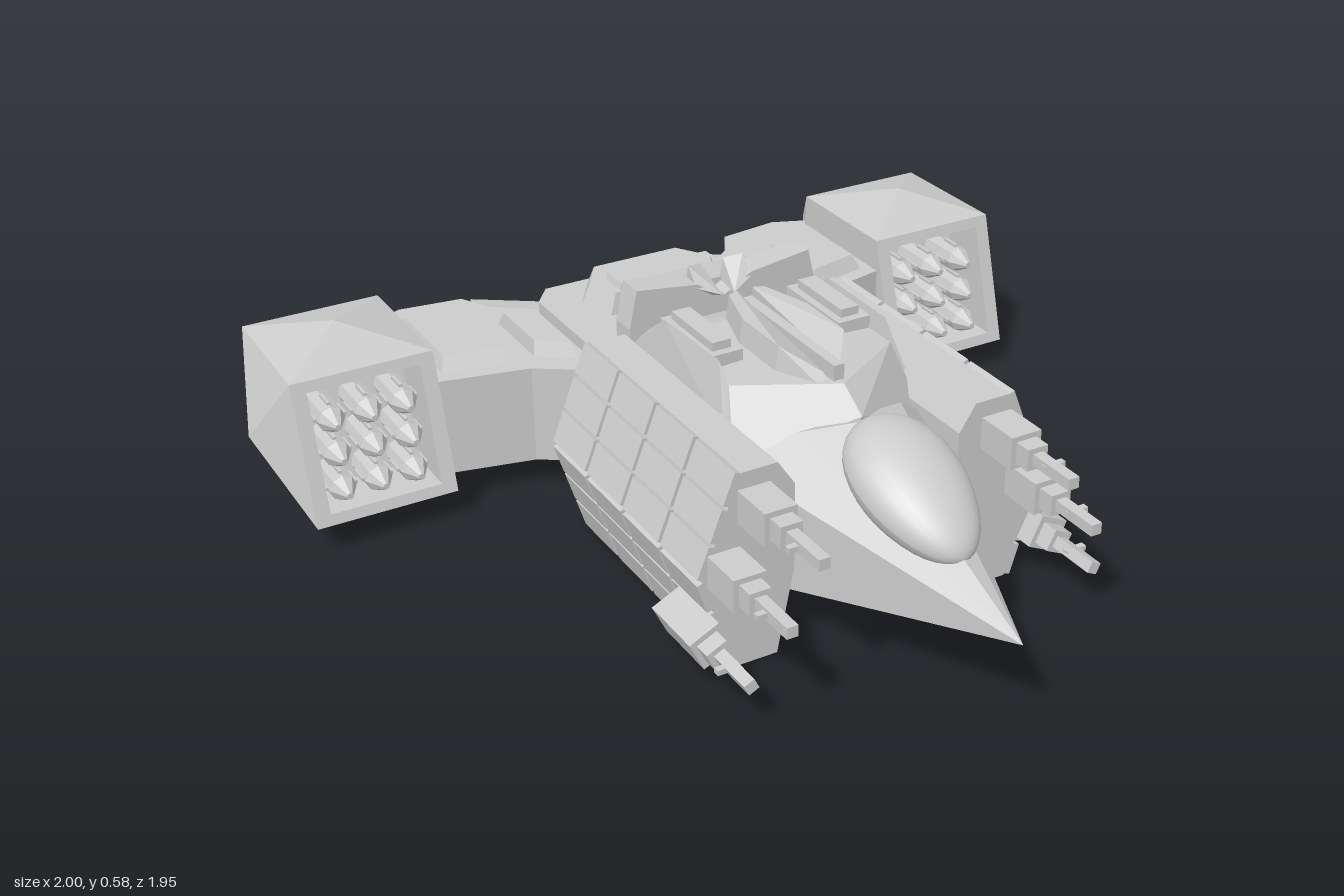
import * as THREE from 'three';
import { ConvexGeometry } from 'three/addons/geometries/ConvexGeometry.js';

const flat = new THREE.MeshStandardMaterial({ color: 0xcccccc, flatShading: true });
const smooth = new THREE.MeshStandardMaterial({ color: 0xcccccc });
const thin = new THREE.MeshStandardMaterial({ color: 0xcccccc, flatShading: true, side: THREE.DoubleSide });

const convex = pts => new ConvexGeometry(pts.map(p => new THREE.Vector3(...p)));
// Points on the +x side, repeated on the -x side, wrapped in a hull
const symConvex = pts => convex(pts.flatMap(([x, y, z]) => (x ? [[x, y, z], [-x, y, z]] : [[x, y, z]])));
const box = (w, h, d, x, y, z) => new THREE.BoxGeometry(w, h, d).translate(x, y, z);
// Cylinder along z, r0 at the front end and r1 at the rear end
const rod = (r0, r1, len, x, y, z, n = 12, open = false) =>
  new THREE.CylinderGeometry(r0, r1, len, n, 1, open).rotateX(Math.PI / 2).translate(x, y, z);
const outline = pts => new THREE.Shape(pts.map(p => new THREE.Vector2(...p)));
// Plan outline [x, z] raised from y0 to y1
const plan = (pts, y0, y1) =>
  new THREE.ExtrudeGeometry(outline(pts.map(([x, z]) => [x, -z])), { depth: y1 - y0, bevelEnabled: false })
    .rotateX(-Math.PI / 2).translate(0, y0, 0);
// Plan outline that shrinks toward its centre at the top
const raised = (pts, y0, y1, k) => {
  const cx = pts.reduce((s, p) => s + p[0], 0) / pts.length;
  const cz = pts.reduce((s, p) => s + p[1], 0) / pts.length;
  return convex(pts.flatMap(([x, z]) => [[x, y0, z], [cx + (x - cx) * k, y1, cz + (z - cz) * k]]));
};

function mirrored(geo) {
  const g = geo.index ? geo.toNonIndexed() : geo.clone();
  g.scale(-1, 1, 1);
  for (const name of ['position', 'normal']) {
    const a = g.attributes[name];
    for (let i = 0; i < a.count; i += 3) {
      for (let k = 0; k < 3; k++) {
        const t = a.getComponent(i + 1, k);
        a.setComponent(i + 1, k, a.getComponent(i + 2, k));
        a.setComponent(i + 2, k, t);
      }
    }
  }
  return g;
}

export function createModel() {
  const model = new THREE.Group();
  model.name = 'gunship';
  const add = (name, geo, mat = flat) => {
    const m = new THREE.Mesh(geo, mat);
    m.name = name;
    model.add(m);
  };
  const pair = (name, geo, mat = flat) => {
    add(name + 'Left', geo, mat);
    add(name + 'Right', mirrored(geo), mat);
  };

  // Nose and main hull
  const noseEnd = [[0.22, 0.1, 0.33], [0.235, 0.36, 0.29], [0.13, 0.44, 0.35], [0, 0.465, 0.42]];
  add('nose', symConvex([[0, 0.24, 0.97], ...noseEnd]));
  add('hull', symConvex([
    [0.22, 0.1, 0.33], [0.235, 0.36, 0.28], [0, 0.465, 0.4], [0.2, 0.5, 0.2], [0, 0.51, 0.33],
    [0.24, 0.4, 0.15], [0.2, 0.5, -0.06], [0, 0.51, -0.06],
    [0.24, 0.1, -0.22], [0.24, 0.4, -0.22], [0.2, 0.45, -0.22],
  ]));
  add('rearHull', symConvex([-0.18, -0.655].flatMap(z =>
    [[0.2, 0.07, z], [0.24, 0.11, z], [0.24, 0.35, z], [0.22, 0.38, z]])));
  add('bellyPlate', symConvex([[0.17, 0.11, 0.3], [0.13, 0.06, 0.22], [0.17, 0.11, -0.64], [0.13, 0.06, -0.58]]));

  // Canopy, an egg that is wider at the rear and follows the nose slope
  const egg = new THREE.SphereGeometry(1, 28, 18).rotateX(Math.PI / 2);
  const p = egg.attributes.position;
  for (let i = 0; i < p.count; i++) {
    const k = 1 - 0.15 * p.getZ(i);
    p.setXYZ(i, p.getX(i) * 0.118 * k, p.getY(i) * 0.08 * k, p.getZ(i) * 0.19);
  }
  egg.rotateX(0.4).translate(0, 0.392, 0.595);
  egg.computeVertexNormals();
  add('canopy', egg, smooth);

  // Dorsal plates, rails and collar
  const ridge = [[0.02, 0.36], [0.02, -0.08], [0.06, -0.07], [0.095, 0.05], [0.095, 0.2]];
  pair('dorsalPlate', convex(ridge.flatMap(([x, z]) =>
    [[x, 0.47, z], [x > 0.05 ? x - 0.015 : x, z > 0.3 ? 0.52 : 0.56, z > 0.3 ? 0.28 : z]])));
  add('spine', box(0.025, 0.05, 0.38, 0, 0.52, 0.12));
  pair('dorsalRail', box(0.08, 0.06, 0.22, 0.16, 0.5, 0.01));
  pair('railCap', box(0.045, 0.03, 0.18, 0.16, 0.535, 0.01));
  pair('shoulderFin', convex([[0.19, 0.42, 0.24], [0.235, 0.4, 0.24], [0.205, 0.545, 0.17],
    [0.19, 0.45, -0.2], [0.235, 0.42, -0.2], [0.215, 0.55, -0.05], [0.2, 0.55, -0.05]]));
  const collar = outline([[-0.24, 0.36], [0.24, 0.36], [0.24, 0.48], [0.22, 0.57], [0.07, 0.55],
    [0, 0.51], [-0.07, 0.55], [-0.22, 0.57], [-0.24, 0.48]]);
  add('collar', new THREE.ExtrudeGeometry(collar, { depth: 0.065, bevelEnabled: false }).translate(0, 0, -0.235));
  pair('collarLatch', convex([[0.015, 0.52, -0.15], [0.07, 0.54, -0.17], [0.07, 0.58, -0.21],
    [0.03, 0.57, -0.23], [0.015, 0.5, -0.23], [0.07, 0.5, -0.23]]));
  add('neckBlock', symConvex([[0.18, 0.36, -0.22], [0.17, 0.53, -0.22], [0.17, 0.36, -0.34], [0.14, 0.51, -0.34]]));

  // Rear deck hatch
  add('rearHatch', raised([[-0.13, -0.625], [0.13, -0.625], [0.19, -0.53], [0.155, -0.44],
    [-0.155, -0.44], [-0.19, -0.53]], 0.37, 0.43, 0.85));
  add('hatchLid', raised([[-0.12, -0.54], [0.12, -0.54], [0.12, -0.46], [-0.12, -0.46]], 0.42, 0.445, 0.92));

  // Engines: r, x, y, length
  const nozzle = (name, r, x, y, z, len, put) => {
    put(name, rod(r, r, len, x, y, z - len / 2, 16, true), thin);
    put(name + 'Rim', new THREE.RingGeometry(r * 0.75, r, 16).rotateY(Math.PI).translate(x, y, z - len), thin);
    put(name + 'Throat', rod(r * 0.75, r * 0.75, len, x, y, z - len / 2, 16, true), thin);
    put(name + 'Core', new THREE.CircleGeometry(r * 0.75, 16).rotateY(Math.PI).translate(x, y, z - len * 0.4), thin);
  };
  nozzle('mainEngine', 0.075, 0, 0.24, -0.65, 0.08, add);
  for (const y of [0.19, 0.29]) nozzle('smallEngine', 0.042, 0.115, y, -0.65, 0.05, pair);
  nozzle('wingEngine', 0.04, 0.455, 0.235, -0.8, 0.105, pair);

  // Wings with raised panels and rear spikes
  pair('wing', plan([[0.2, -0.28], [0.38, -0.4], [0.61, -0.45], [0.61, -0.81], [0.525, -0.845],
    [0.37, -0.825], [0.33, -0.75], [0.2, -0.65]], 0.08, 0.32));
  const outer = [[0.57, -0.765], [0.395, -0.675], [0.41, -0.44], [0.57, -0.475]];
  const inner = [[0.35, -0.66], [0.265, -0.58], [0.265, -0.385], [0.35, -0.45]];
  for (const quad of [outer, inner]) {
    pair('wingPanel', raised(quad, 0.31, 0.355, 0.8));
    pair('wingUnderPanel', raised(quad, 0.09, 0.065, 0.85));
  }
  pair('wingSpike', convex([[0.285, 0.235, -0.98], [0.275, 0.235, -0.86], [0.19, 0.3, -0.75], [0.19, 0.15, -0.75],
    [0.24, 0.32, -0.65], [0.24, 0.1, -0.65], [0.36, 0.31, -0.72], [0.36, 0.11, -0.72]]));

  // Armoured sponsons with rows of plates on both outer slopes
  const sponson = outline([[0.24, 0.46], [0.325, 0.46], [0.415, 0.235], [0.34, 0.005], [0.24, 0.005],
    [0.2, 0.2], [0.2, 0.4]]);
  pair('sponson', new THREE.ExtrudeGeometry(sponson, { depth: 0.66, bevelEnabled: false }).translate(0, 0, -0.195));
  for (const [x0, y0, x1, y1] of [[0.327, 0.465, 0.418, 0.235], [0.418, 0.235, 0.345, 0.003]]) {
    const len = Math.hypot(x1 - x0, y1 - y0);
    for (let r = 0; r < 3; r++) for (let c = 0; c < 4; c++) {
      const t = (r + 0.5) / 3;
      const plate = new THREE.BoxGeometry(0.02, len / 3 - 0.008, 0.157);
      plate.rotateZ(Math.atan2(x1 - x0, y0 - y1));
      plate.translate(x0 + (x1 - x0) * t, y0 + (y1 - y0) * t, -0.117 + c * 0.168);
      pair('armourPlate', plate);
    }
  }

  // Guns: x, y, z of the muzzle, roll
  for (const [x, y, z, roll] of [[0.295, 0.385, 0.73, 0], [0.365, 0.255, 0.73, 0], [0.42, 0.11, 0.67, -0.45]]) {
    const parts = [['gunMount', 0.075, 0.16, -0.24], ['gunBreech', 0.05, 0.08, -0.16],
      ['gunBarrel', 0.026, 0.18, -0.09]];
    for (const [name, s, len, dz] of parts)
      pair(name, new THREE.BoxGeometry(s, s, len).rotateZ(roll).translate(x, y, z + dz));
    pair('gunSight', box(0.05, 0.012, 0.015, x + 0.01, y, z - 0.08));
  }

  // Missile pods: a faceted shell, open at the slanted front
  const front = [[0.595, 0.08, -0.36], [0.93, 0.08, -0.36], [0.93, 0.4, -0.45], [0.595, 0.4, -0.45]];
  const shell = convex([...front, [0.765, 0.45, -0.61], [1, 0.235, -0.57], [0.595, 0.4, -0.785],
    [0.925, 0.4, -0.785], [0.64, 0.3, -0.875], [0.87, 0.3, -0.875],
    [0.595, 0.09, -0.8], [0.925, 0.09, -0.8], [0.765, 0.065, -0.62]]);
  const src = shell.attributes.position, kept = [];
  const onFront = i => Math.abs(src.getZ(i) + 0.36 + (src.getY(i) - 0.08) * 0.09 / 0.32) < 1e-4;
  for (let i = 0; i < src.count; i += 3) {
    if (onFront(i) && onFront(i + 1) && onFront(i + 2)) continue;
    for (let k = i; k < i + 3; k++) kept.push(src.getX(k), src.getY(k), src.getZ(k));
  }
  const openShell = new THREE.BufferGeometry();
  openShell.setAttribute('position', new THREE.Float32BufferAttribute(kept, 3));
  openShell.computeVertexNormals();
  pair('podShell', openShell);
  const slant = g => {
    const a = g.attributes.position;
    for (let i = 0; i < a.count; i++) a.setZ(i, a.getZ(i) - 0.36 - (a.getY(i) - 0.08) * 0.09 / 0.32);
    g.computeVertexNormals();
    return g;
  };
  const frame = outline(front.map(([x, y]) => [x, y]));
  frame.holes.push(outline([[0.63, 0.105], [0.63, 0.375], [0.895, 0.375], [0.895, 0.105]]));
  pair('podFrame', slant(new THREE.ShapeGeometry(frame)), thin);
  const bay = outline([[0.63, 0.105], [0.895, 0.105], [0.895, 0.375], [0.63, 0.375]]);
  const bayWalls = new THREE.ExtrudeGeometry(bay, { depth: 0.13, bevelEnabled: false }).translate(0, 0, -0.13);
  // Keep only the side walls of the bay, then close its back
  const wall = bayWalls.groups[1];
  const wallGeo = new THREE.BufferGeometry();
  for (const n of ['position', 'normal'])
    wallGeo.setAttribute(n, new THREE.Float32BufferAttribute(
      bayWalls.attributes[n].array.slice(wall.start * 3, (wall.start + wall.count) * 3), 3));
  pair('podBay', slant(wallGeo), thin);
  pair('podBayBack', slant(new THREE.ShapeGeometry(bay).translate(0, 0, -0.13)), thin);

  // Missiles, three by three
  for (const x of [0.675, 0.76, 0.845]) [0.135, 0.215, 0.295].forEach((y, row) => {
    const z = -0.44 - row * 0.015;
    pair('missileBody', rod(0.032, 0.032, 0.13, x, y, z - 0.04, 8));
    pair('missileTip', rod(0.008, 0.032, 0.045, x, y, z + 0.047, 8));
    pair('missileFins', box(0.075, 0.008, 0.05, x, y, z - 0.01));
    pair('missileFins', box(0.008, 0.075, 0.05, x, y, z - 0.01));
  });
  return model;
}
